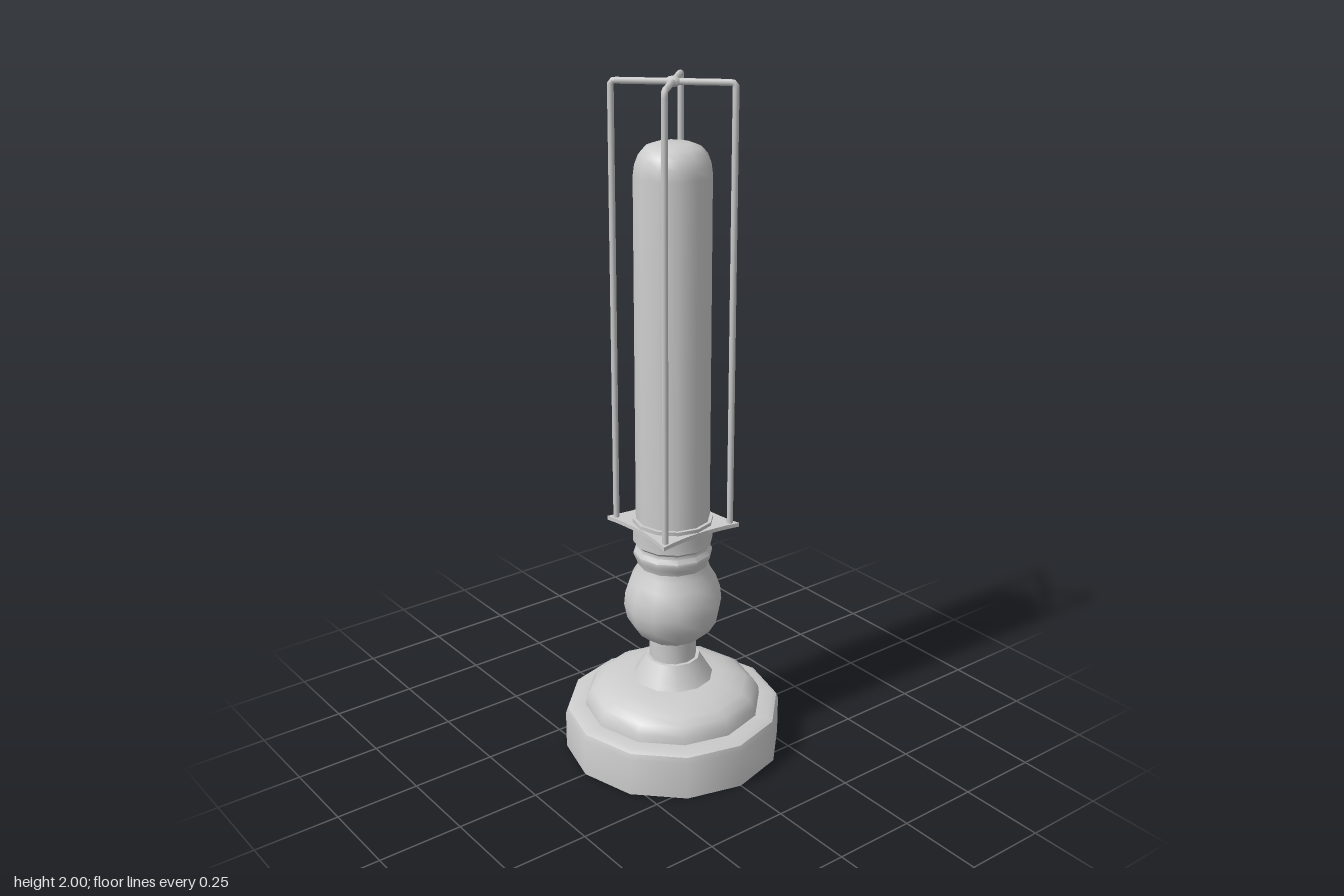
import * as THREE from 'three';
import { toCreasedNormals } from 'three/addons/utils/BufferGeometryUtils.js';

const material = new THREE.MeshStandardMaterial({ color: 0xcccccc });
const openMaterial = new THREE.MeshStandardMaterial({ color: 0xcccccc, side: THREE.DoubleSide });

export function createModel() {
  const group = new THREE.Group();

  const add = (name, geometry, mat = material) => {
    const mesh = new THREE.Mesh(geometry, mat);
    mesh.name = name;
    group.add(mesh);
    return mesh;
  };

  // Turned part: [radius, height] pairs from bottom to top, 12 sides
  const turned = (name, profile, mat) => {
    const points = profile.map(([r, y]) => new THREE.Vector2(r, y));
    return add(name, toCreasedNormals(new THREE.LatheGeometry(points, 12), 0.7), mat);
  };

  // Hollow foot: open rim, ledge and a flat ceiling inside
  turned('baseRim', [[0.325, 0], [0.325, 0.115], [0.319, 0.132], [0.303, 0.14], [0.255, 0.14]], openMaterial);
  const ceiling = add('baseCeiling', new THREE.CircleGeometry(0.3, 12), openMaterial);
  ceiling.rotation.x = Math.PI / 2;
  ceiling.position.y = 0.137;

  // Stepped dome, cone and neck
  turned('baseDome', [[0.265, 0.14], [0.262, 0.162], [0.247, 0.187], [0.222, 0.204],
    [0.185, 0.218], [0.15, 0.226], [0.118, 0.229]]);
  turned('baseCone', [[0.121, 0.226], [0.107, 0.25], [0.08, 0.295], [0, 0.295]]);
  turned('neck', [[0.07, 0.29], [0.07, 0.37]]);

  // Rounded bulb
  turned('bulb', [[0, 0.365], [0.085, 0.365], [0.115, 0.39], [0.136, 0.425], [0.145, 0.47],
    [0.141, 0.51], [0.127, 0.55], [0.109, 0.58], [0.102, 0.605]]);

  // Socket with two rounded collars
  turned('socket', [[0.102, 0.595], [0.108, 0.615], [0.115, 0.63], [0.115, 0.64], [0.105, 0.652],
    [0.105, 0.662], [0.116, 0.672], [0.116, 0.695], [0.118, 0.745], [0.107, 0.745]]);

  // Candle with a rounded top
  turned('candle', [[0.108, 0.72], [0.108, 1.74], [0.104, 1.77], [0.094, 1.796],
    [0.077, 1.815], [0.05, 1.825], [0, 1.825]]);

  // Thin square plate with edges curving in between the corners
  const plate = new THREE.Shape();
  const c = 0.136, m = 0.105;
  plate.moveTo(-c, -c);
  plate.quadraticCurveTo(0, -m, c, -c);
  plate.quadraticCurveTo(m, 0, c, c);
  plate.quadraticCurveTo(0, m, -c, c);
  plate.quadraticCurveTo(-m, 0, -c, -c);
  const hole = new THREE.Path();
  hole.absarc(0, 0, 0.1, 0, Math.PI * 2, true);
  plate.holes.push(hole);
  const plateGeometry = new THREE.ExtrudeGeometry(plate, { depth: 0.012, bevelEnabled: false, curveSegments: 8 });
  plateGeometry.rotateX(-Math.PI / 2);
  add('cagePlate', plateGeometry).position.y = 0.722;

  // Four wire rods that bend over to meet above the candle
  const reach = 0.117 * Math.SQRT2, top = 1.985;
  const path = new THREE.CurvePath();
  const bends = [[reach, 0.725], [reach, top - 0.012], [reach - 0.012, top], [0, top]]
    .map(([x, y]) => new THREE.Vector3(x, y, 0));
  path.add(new THREE.LineCurve3(bends[0], bends[1]));
  path.add(new THREE.QuadraticBezierCurve3(bends[1], new THREE.Vector3(reach, top, 0), bends[2]));
  path.add(new THREE.LineCurve3(bends[2], bends[3]));
  const rodGeometry = new THREE.TubeGeometry(path, 160, 0.009, 8);
  for (let i = 0; i < 4; i++) {
    add('cageRod' + (i + 1), rodGeometry).rotation.y = Math.PI / 4 + i * Math.PI / 2;
  }

  // Small flattened knob where the rods meet
  const knob = add('cageKnob', new THREE.SphereGeometry(0.022, 6, 6));
  knob.scale.y = 0.68;
  knob.position.y = top;

  return group;
}
